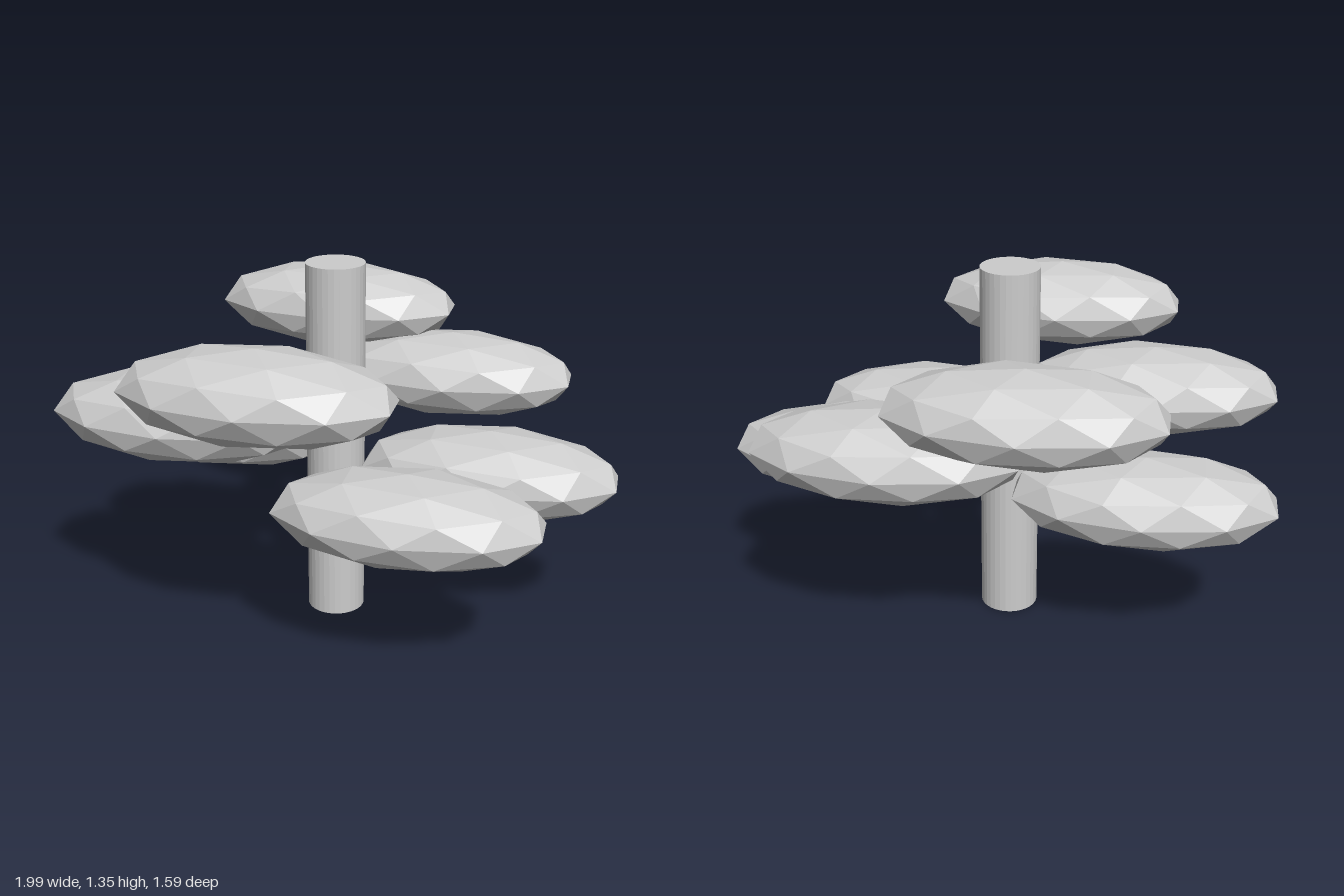
import * as THREE from 'three';

export function createModel() {
  const model = new THREE.Group();
  model.name = 'tree';

  const grey = new THREE.MeshStandardMaterial({ color: 0xcccccc, flatShading: true });
  grey.name = 'light grey';

  // Upright trunk
  const height = 1.35;
  const trunk = new THREE.Mesh(new THREE.CylinderGeometry(0.107, 0.107, height, 32), grey);
  trunk.name = 'trunk';
  trunk.position.set(-0.031, height / 2, 0);
  model.add(trunk);

  // Low-poly ball, turned so that one corner points straight up, then stretched
  const golden = (1 + Math.sqrt(5)) / 2;
  const clumpShape = new THREE.IcosahedronGeometry(1, 1);
  clumpShape.rotateZ(-Math.atan(1 / golden));
  clumpShape.scale(0.481, 0.16, 0.241);

  // Foliage clumps around the trunk, on three levels
  const low = 0.608, middle = 0.824, high = 1.04;
  const clumps = [
    [0.54, low, 0],
    [0.325, low, 0.445],
    [-0.54, low, -0.245],
    [0.325, middle, -0.445],
    [-0.54, middle, 0.245],
    [-0.157, high, 0.554],
    [-0.157, high, -0.554],
  ];
  clumps.forEach(([x, y, z], i) => {
    const clump = new THREE.Mesh(clumpShape, grey);
    clump.name = `foliageClump${i + 1}`;
    clump.position.set(x, y, z);
    model.add(clump);
  });

  return model;
}
